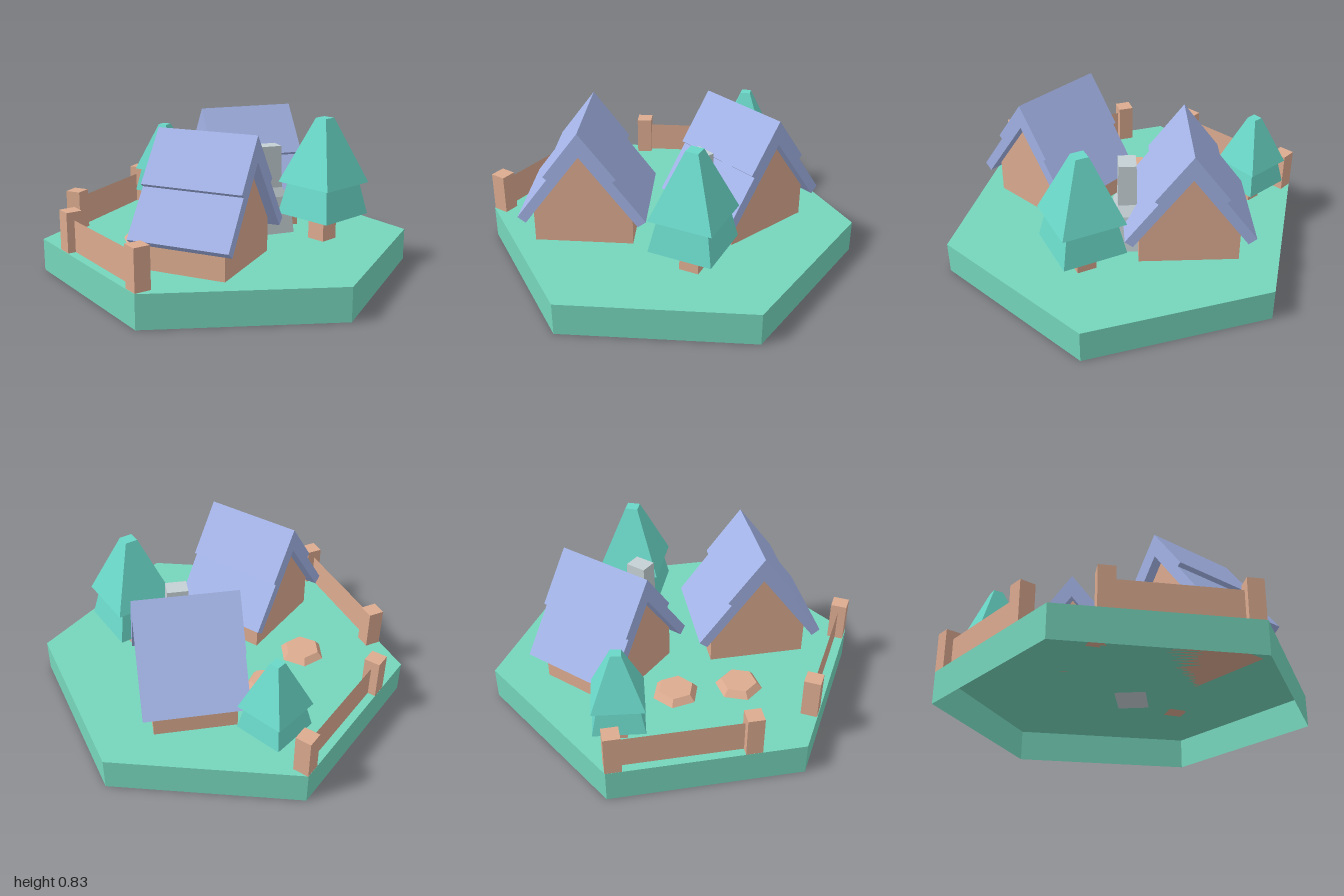
import * as THREE from 'three';

const GROUND = 0.175;
const mat = (color, side = THREE.FrontSide) =>
  new THREE.MeshStandardMaterial({ color, flatShading: true, side });

const grass = mat(0x76d6bc, THREE.DoubleSide);
const leaf = mat(0x6ad8c8);
const slate = mat(0xa3b3e6);
const wood = mat(0xdcab90);
const panelWood = mat(0xdcab90, THREE.DoubleSide);
const stone = mat(0xc4d0d4);

function add(parent, name, geometry, material, x = 0, y = 0, z = 0, turn = 0) {
  const mesh = new THREE.Mesh(geometry, material);
  mesh.name = name;
  mesh.position.set(x, y, z);
  mesh.rotation.y = turn;
  parent.add(mesh);
  return mesh;
}

function group(parent, name, x, y, z, turn = 0) {
  const g = new THREE.Group();
  g.name = name;
  g.position.set(x, y, z);
  g.rotation.y = turn;
  parent.add(g);
  return g;
}

// Extrude a (z, y) profile along x, centred
function extrudeAlongX(points, length) {
  const shape = new THREE.Shape(points.map(p => new THREE.Vector2(...p)));
  return new THREE.ExtrudeGeometry(shape, { depth: length, bevelEnabled: false })
    .translate(0, 0, -length / 2)
    .rotateY(Math.PI / 2);
}

// Steep gabled cabin; ridge runs along local x
function house(parent, name, x, z, turn) {
  const g = group(parent, name, x, 0, z, turn);
  add(g, 'walls', extrudeAlongX(
    [[-0.26, GROUND], [0.26, GROUND], [0.26, 0.353], [0, 0.7], [-0.26, 0.353]], 0.43), wood);
  // right half of the stepped roof, mirrored for the left
  const outer = [[0.187, 0.581], [0.168, 0.566], [0.335, 0.341], [0.293, 0.309]];
  const mirrored = outer.map(([u, y]) => [-u, y]).reverse();
  add(g, 'roof', extrudeAlongX([[0, 0.83], ...outer, [0, 0.7], ...mirrored], 0.535), slate);
  return g;
}

// Two-tier square tree
function tree(parent, name, x, z, scale, turn) {
  const g = group(parent, name, x, GROUND, z, turn);
  g.scale.setScalar(scale);
  const tier = (part, rTop, rBottom, y0, y1, material) =>
    add(g, part, new THREE.CylinderGeometry(rTop, rBottom, y1 - y0, 4), material, 0, (y0 + y1) / 2, 0);
  tier('trunk', 0.074, 0.074, 0, 0.16, wood);
  tier('lowerFoliage', 0.19, 0.24, 0.14, 0.315, leaf);
  tier('upperFoliage', 0.048, 0.24, 0.313, 0.66, leaf);
}

// Rectangular frustum between two half-sizes
function frustum(bottom, top, y0, y1) {
  const geo = new THREE.BoxGeometry(2, y1 - y0, 2);
  const p = geo.attributes.position;
  for (let i = 0; i < p.count; i++) {
    const [hx, hz] = p.getY(i) > 0 ? top : bottom;
    p.setX(i, p.getX(i) * hx);
    p.setZ(i, p.getZ(i) * hz);
  }
  return geo.translate(0, (y0 + y1) / 2, 0);
}

// Two posts with a thin panel between them
function fence(parent, name, a, b) {
  const dx = b[0] - a[0], dz = b[1] - a[1];
  const turn = Math.atan2(-dz, dx);
  const g = group(parent, name, (a[0] + b[0]) / 2, GROUND, (a[1] + b[1]) / 2, turn);
  const length = Math.hypot(dx, dz);
  for (const s of [-1, 1]) {
    add(g, 'post', new THREE.BoxGeometry(0.085, 0.215, 0.085), wood, s * length / 2, 0.1075, 0);
  }
  add(g, 'panel', new THREE.PlaneGeometry(length, 0.17), panelWood, 0, 0.085, 0);
}

export function createModel() {
  const model = new THREE.Group();
  model.name = 'cabinTile';

  // Hexagonal ground, hollow underneath
  add(model, 'groundSides', new THREE.CylinderGeometry(1, 1, GROUND, 6, 1, true), grass, 0, GROUND / 2, 0);
  add(model, 'groundTop', new THREE.CircleGeometry(1, 6, Math.PI / 6).rotateX(-Math.PI / 2), grass, 0, GROUND, 0);

  // Cabins
  house(model, 'frontHouse', 0.0925, 0.435, 0);
  const rear = house(model, 'rearHouse', -0.055, -0.375, Math.PI / 4);

  // Chimney against the rear cabin's eave
  const chimney = group(rear, 'chimney', 0.01, 0, 0.312);
  add(chimney, 'hearth', frustum([0.122, 0.086], [0.1, 0.07], GROUND, 0.38), stone);
  add(chimney, 'shoulder', frustum([0.1, 0.07], [0.062, 0.05], 0.38, 0.43), stone);
  add(chimney, 'stack', frustum([0.062, 0.05], [0.056, 0.046], 0.43, 0.66), stone);

  // Trees
  tree(model, 'largeTree', 0.495, -0.152, 1, 0.408);
  tree(model, 'smallTree', -0.6, -0.395, 0.77, 0.67);

  // Low hexagonal stumps
  for (const [x, z, turn] of [[-0.355, -0.065, 0.2], [-0.36, 0.275, 0.68]]) {
    add(model, 'stump', new THREE.CylinderGeometry(0.095, 0.125, 0.035, 6), wood, x, GROUND + 0.0175, z, turn);
  }

  // Fences along two edges
  fence(model, 'leftFence', [-0.823, -0.46], [-0.823, 0.23]);
  fence(model, 'frontFence', [-0.616, 0.592], [-0.016, 0.938]);

  return model;
}
